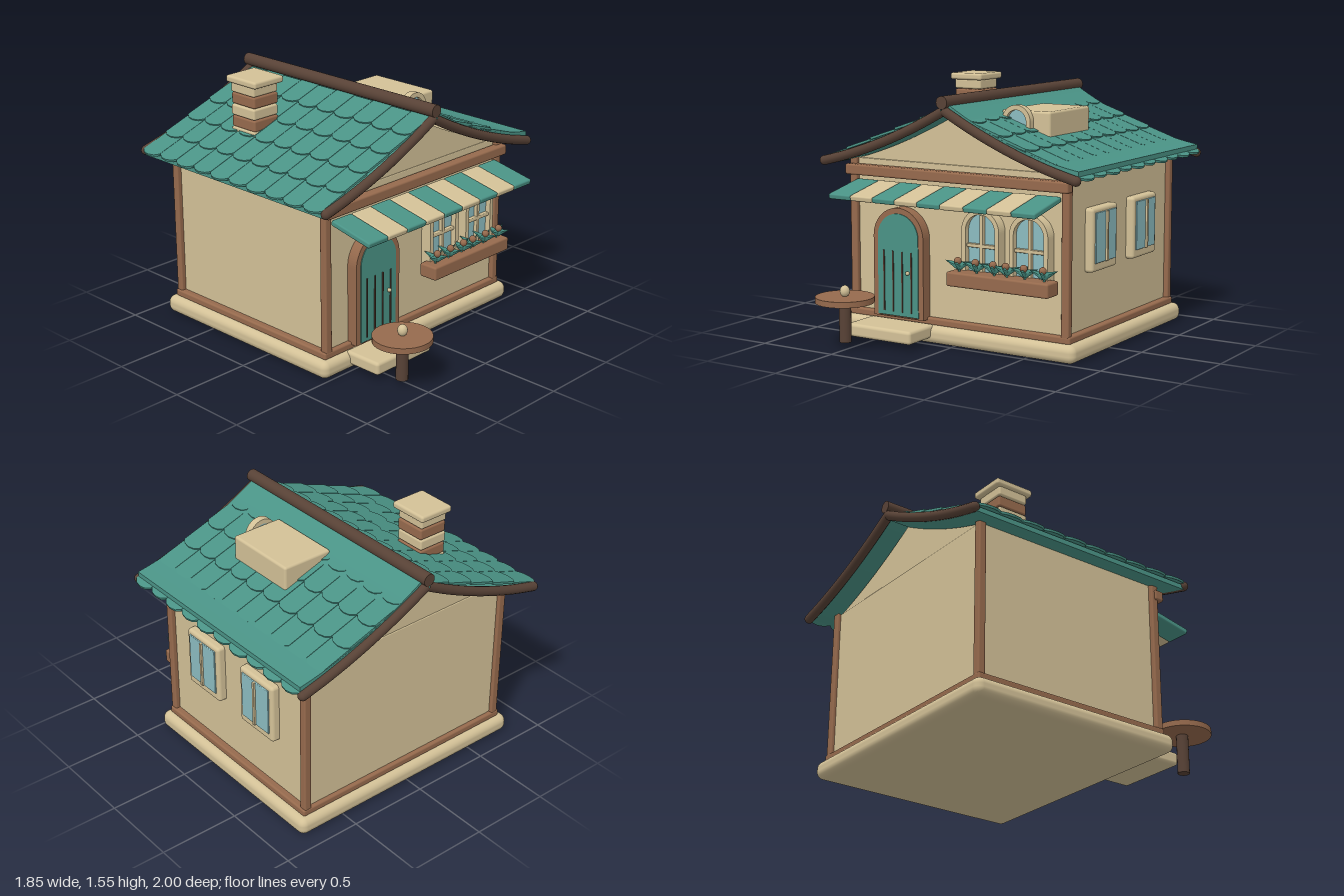
import * as THREE from 'three';
import { RoundedBoxGeometry } from 'three/addons/geometries/RoundedBoxGeometry.js';

const mat = (name, color) => {
  const m = new THREE.MeshStandardMaterial({ color });
  m.name = name;
  return m;
};

export function createModel() {
  const house = new THREE.Group();
  house.name = 'cottage';
  const cream = mat('cream', 0xd3c197), teal = mat('teal', 0x4a9386), brown = mat('brown', 0x966a4d);
  const dark = mat('darkBrown', 0x584236), glass = mat('glass', 0x8cbcc1);
  const MID = -0.205; // z of the building's middle

  const add = (name, geo, material, x = 0, y = 0, z = 0, parent = house) => {
    const m = new THREE.Mesh(geo, material);
    m.name = name;
    m.position.set(x, y, z);
    parent.add(m);
    return m;
  };
  // Soft-edged box given by its lower and upper corners
  const block = (name, material, x0, x1, y0, y1, z0, z1, r = 0.01, parent = house) =>
    add(name, new RoundedBoxGeometry(x1 - x0, y1 - y0, z1 - z0, 3, r), material,
      (x0 + x1) / 2, (y0 + y1) / 2, (z0 + z1) / 2, parent);
  const extrude = (shape, depth) =>
    new THREE.ExtrudeGeometry(shape, { depth, bevelEnabled: false, curveSegments: 20 });
  // Round-topped outline: straight sides from y0 up to the spring line, then a half circle
  const arch = (r, y0, spring, Type = THREE.Shape) => {
    const s = new Type();
    s.moveTo(-r, y0);
    s.lineTo(r, y0);
    s.lineTo(r, spring);
    s.absarc(0, spring, r, 0, Math.PI, false);
    s.lineTo(-r, y0);
    return s;
  };
  const archFrame = (name, material, x, z, depth, r, inner, y0, spring) => {
    const s = arch(r, y0, spring);
    s.holes.push(arch(inner, y0 + 0.005, spring, THREE.Path));
    return add(name, extrude(s, depth), material, x, 0, z);
  };

  // Base, walls and timber trim
  block('foundation', cream, -0.82, 0.82, 0, 0.11, -0.905, 0.495, 0.045);
  block('baseTrim', brown, -0.775, 0.775, 0.105, 0.15, -0.865, 0.455, 0.012);
  block('walls', cream, -0.735, 0.735, 0.11, 1.075, -0.84, 0.425, 0.005);
  for (const x of [-0.74, 0.74]) for (const z of [-0.838, 0.43])
    block('cornerPost', brown, x - 0.025, x + 0.025, 0.11, 1.08, z - 0.024, z + 0.024);
  block('frontBeam', brown, -0.775, 0.775, 0.975, 1.04, 0.425, 0.49, 0.012);

  // Sagging roof line, x measured out from the ridge
  const roofY = (x) => {
    const t = x / 0.88;
    return 1.405 - 0.345 * t - 0.14 * t * (1 - t);
  };
  const steps = (end, n = 12) => Array.from({ length: n + 1 }, (_, i) => (end * i) / n);

  // Gable filling under the roof
  const gable = new THREE.Shape();
  gable.moveTo(-0.725, 1.06);
  gable.lineTo(0.725, 1.06);
  for (const x of steps(1.45, 24)) gable.lineTo(0.725 - x, roofY(Math.abs(0.725 - x)) - 0.03);
  add('gable', extrude(gable, 1.255), cream, 0, 0, -0.835);

  // Roof shells: the right-hand slope sits a little higher
  const shell = (name, side, top, sag, thick) => {
    const line = (x) => {
      const t = x / 0.88;
      return top - 0.34 * t - 4 * sag * t * (1 - t);
    };
    const pts = [
      ...steps(0.88).map((x) => new THREE.Vector2(side * x, line(x))),
      ...steps(0.88).reverse().map((x) => new THREE.Vector2(side * x, line(x) - thick)),
    ];
    add(name, extrude(new THREE.Shape(pts), 1.52), teal, 0, 0, MID - 0.76);
  };
  shell('rightRoofShell', 1, 1.455, 0.05, 0.045);
  shell('leftRoofShell', -1, 1.405, 0.035, 0.03);

  // Overlapping tiles with rounded lower ends
  const w = 0.0745;
  const tileShape = new THREE.Shape();
  tileShape.moveTo(0, -w);
  tileShape.lineTo(0.185, -w);
  tileShape.lineTo(0.207, -w * 0.6);
  tileShape.lineTo(0.215, 0);
  tileShape.lineTo(0.207, w * 0.6);
  tileShape.lineTo(0.185, w);
  tileShape.lineTo(0, w);
  const tileGeo = extrude(tileShape, 0.014).rotateX(-Math.PI / 2).rotateZ(0.04);
  for (const side of [1, -1]) {
    const slope = new THREE.Group();
    slope.name = side > 0 ? 'rightTiles' : 'leftTiles';
    const plane = new THREE.Group();
    plane.rotation.z = -Math.atan(0.384);
    plane.position.y = 1.402;
    slope.position.z = MID;
    slope.rotation.y = side > 0 ? 0 : Math.PI;
    slope.add(plane);
    house.add(slope);
    for (let row = 0; row < 5; row++) for (let col = 0; col < 10; col++)
      add('roofTile', tileGeo, teal, row * 0.19 + (col % 2) * 0.006, 0, (col - 4.5) * 0.152, plane);
  }

  // Ridge pole and rounded edge poles
  add('ridgePole', new THREE.CylinderGeometry(0.038, 0.038, 1.59, 20).rotateX(Math.PI / 2), dark, 0, 1.453, MID);
  for (const side of [-1, 1]) for (const z of [-0.975, 0.565]) {
    const path = new THREE.CatmullRomCurve3(
      steps(0.87, 6).map((x) => new THREE.Vector3(side * x, roofY(x), z)));
    add('gablePole', new THREE.TubeGeometry(path, 20, 0.029, 12), dark);
    add('gablePoleEnd', new THREE.SphereGeometry(0.029, 12, 8), dark, side * 0.87, roofY(0.87), z);
  }

  // Chimney of alternating courses
  [[1.16, 1.235, cream], [1.232, 1.302, brown], [1.305, 1.372, cream], [1.375, 1.445, brown], [1.447, 1.508, cream]]
    .forEach(([y0, y1, m], i) => {
      const s = (i % 2) * 0.004;
      block('chimneyCourse', m, -0.54 + s, -0.345 + s, y0, y1, -0.56, -0.36, 0.012);
    });
  block('chimneyCap', cream, -0.556, -0.323, 1.505, 1.548, -0.587, -0.33, 0.015);

  // Dormer with arched window
  block('dormer', cream, 0.135, 0.465, 1.2, 1.388, -0.32, 0.155, 0.015);
  archFrame('dormerFrame', cream, 0.258, 0.15, 0.045, 0.097, 0.068, 1.24, 1.325);
  add('dormerGlass', extrude(arch(0.07, 1.24, 1.325), 0.015), glass, 0.258, 0, 0.155);

  // Striped awning
  const awning = new THREE.Group();
  awning.name = 'awning';
  awning.position.set(0, 0.905, 0.59);
  awning.rotation.x = 0.2;
  house.add(awning);
  for (let i = 0; i < 9; i++)
    add('awningStripe', new RoundedBoxGeometry(0.157, 0.034, 0.3, 2, 0.01), i % 2 ? cream : teal, (i - 4) * 0.158, 0, 0, awning);

  // Front door
  const doorX = -0.38;
  archFrame('doorFrame', brown, doorX, 0.41, 0.085, 0.18, 0.144, 0.135, 0.62);
  add('door', extrude(arch(0.146, 0.145, 0.62), 0.085), teal, doorX, 0, 0.415);
  for (let i = 0; i < 4; i++)
    add('doorGroove', new THREE.BoxGeometry(0.008, 0.37, 0.008), dark, doorX - 0.1 + i * 0.066, 0.355, 0.502);
  add('doorKnob', new THREE.SphereGeometry(0.013, 12, 8), cream, -0.302, 0.415, 0.512);
  block('doorStep', cream, -0.61, -0.15, 0.035, 0.115, 0.45, 0.71, 0.02);

  // Arched front windows
  for (const x of [0.2, 0.525]) {
    archFrame('windowFrame', cream, x, 0.41, 0.085, 0.128, 0.1, 0.45, 0.71);
    add('windowGlass', extrude(arch(0.102, 0.455, 0.71), 0.04), glass, x, 0, 0.42);
    block('windowBarUpright', cream, x - 0.011, x + 0.011, 0.455, 0.805, 0.45, 0.485, 0.005);
    block('windowBarCross', cream, x - 0.1, x + 0.1, 0.612, 0.634, 0.45, 0.485, 0.005);
  }

  // Flower box: leaves fan out around each bud
  block('flowerBox', brown, 0.02, 0.705, 0.388, 0.473, 0.46, 0.585, 0.012);
  const leafGeo = new THREE.ConeGeometry(0.026, 0.09, 4).scale(1, 1, 0.6).translate(0, 0.045, 0);
  for (const x of [0.08, 0.2, 0.32, 0.405, 0.525, 0.65]) {
    add('flowerStem', new THREE.CylinderGeometry(0.007, 0.007, 0.07, 6), teal, x, 0.495, 0.53);
    add('flowerBud', new THREE.SphereGeometry(0.022, 14, 10), brown, x, 0.537, 0.545);
    for (let i = 0; i < 4; i++) {
      const leaf = add('leaf', leafGeo, teal, x, 0.505, 0.535);
      leaf.rotation.set(0, i * Math.PI / 2 + 0.25, -1.2, 'YXZ');
    }
  }

  // Side windows, on the model's left wall only
  for (const z of [0.06, -0.445]) {
    block('sideWindowFrame', cream, 0.715, 0.785, 0.48, 0.856, z - 0.152, z + 0.152, 0.02);
    block('sideWindowGlass', glass, 0.775, 0.793, 0.532, 0.828, z - 0.122, z + 0.122, 0.004);
    block('sideWindowBar', cream, 0.78, 0.806, 0.532, 0.828, z - 0.009, z + 0.009, 0.004);
  }

  // Garden table with a small ornament
  add('tablePost', new THREE.CylinderGeometry(0.036, 0.036, 0.25, 16), dark, -0.53, 0.16, 0.825);
  add('tableTop', new THREE.CylinderGeometry(0.175, 0.175, 0.035, 32), brown, -0.53, 0.292, 0.825);
  add('tableOrnament', new THREE.SphereGeometry(0.03, 16, 12).scale(1, 1.15, 1), cream, -0.53, 0.34, 0.825);

  return house;
}
